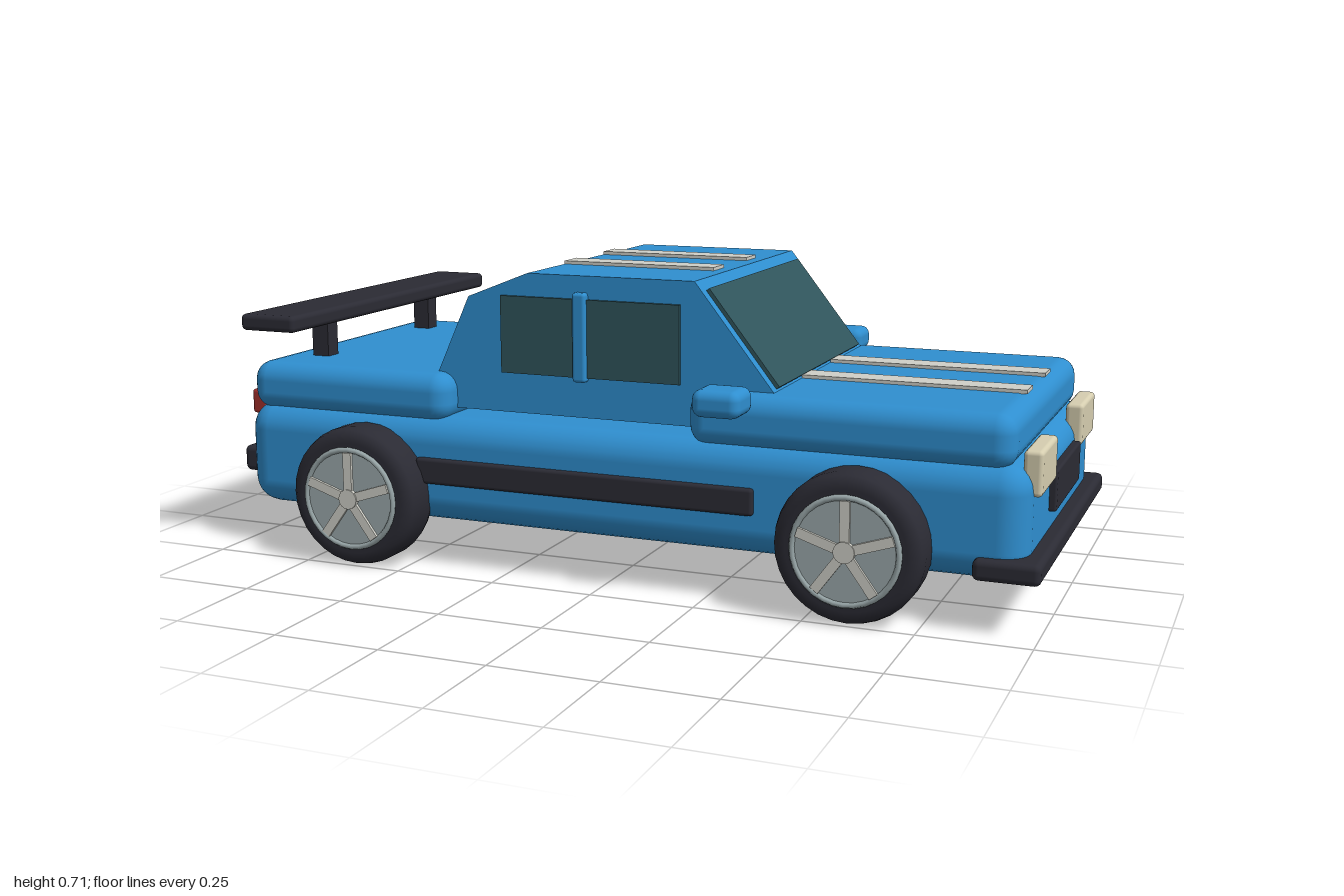
import * as THREE from 'three';
import { RoundedBoxGeometry } from 'three/addons/geometries/RoundedBoxGeometry.js';

const mat = (name, color, extra = {}) => {
  const m = new THREE.MeshStandardMaterial({ color, ...extra });
  m.name = name;
  return m;
};

export function createModel() {
  const paint = mat('bluePaint', 0x2f8fd0);
  const black = mat('blackTrim', 0x2b2b34);
  const glass = mat('tintedGlass', 0x30555c);
  const cream = mat('headlightCream', 0xd6ceb0);
  const stripeMat = mat('stripeGrey', 0xd0d0c8);
  const rimMat = mat('rimGrey', 0x9caaac);
  const red = mat('tailRed', 0xa0302c);

  const car = new THREE.Group();
  car.name = 'car';

  const add = (name, geo, material, parent = car) => {
    const m = new THREE.Mesh(geo, material);
    m.name = name;
    parent.add(m);
    return m;
  };
  // Box given by its limits on each axis, with rounded edges when r > 0
  const box = (name, material, [x0, x1], [y0, y1], [z0, z1], r = 0) => {
    const s = [x1 - x0, y1 - y0, z1 - z0];
    const geo = r ? new RoundedBoxGeometry(...s, 3, r) : new THREE.BoxGeometry(...s);
    const m = add(name, geo, material);
    m.position.set((x0 + x1) / 2, (y0 + y1) / 2, (z0 + z1) / 2);
    return m;
  };

  // Body shells
  box('lowerBody', paint, [-0.97, 0.965], [0.105, 0.36], [-0.428, 0.428], 0.065);
  box('hood', paint, [0.195, 0.93], [0.342, 0.466], [-0.412, 0.412], 0.045);
  box('trunk', paint, [-0.96, -0.41], [0.342, 0.461], [-0.412, 0.412], 0.045);

  // Cabin: side profile extruded across the car
  const profile = [[-0.49, 0.375], [0.43, 0.375], [0.385, 0.465], [0.195, 0.706],
    [-0.22, 0.706], [-0.375, 0.645], [-0.46, 0.46]].map(p => new THREE.Vector2(...p));
  const cabin = new THREE.ExtrudeGeometry(new THREE.Shape(profile), { depth: 0.704, bevelEnabled: false });
  cabin.translate(0, 0, -0.352);
  add('cabin', cabin, paint);

  // Glass plates lying on the sloped ends of the cabin
  const slopedGlass = (name, a, b, width) => {
    const [dx, dy] = [b[0] - a[0], b[1] - a[1]];
    const m = add(name, new THREE.BoxGeometry(Math.hypot(dx, dy), 0.018, width), glass);
    m.position.set((a[0] + b[0]) / 2, (a[1] + b[1]) / 2, 0);
    m.rotation.z = Math.atan2(dy, dx);
  };
  slopedGlass('windshield', [0.213, 0.683], [0.381, 0.47], 0.65);
  slopedGlass('rearWindow', [-0.466, 0.447], [-0.392, 0.608], 0.64);

  // Grille, bumpers
  box('grille', black, [0.94, 0.982], [0.207, 0.302], [-0.165, 0.165], 0.006);
  box('frontBumper', black, [0.855, 1], [0.116, 0.163], [-0.452, 0.452], 0.014);
  box('rearBumper', black, [-1, -0.95], [0.178, 0.242], [-0.393, 0.393], 0.014);

  // Rear wing
  box('wing', black, [-0.93, -0.78], [0.55, 0.59], [-0.48, 0.48], 0.012);

  // Parts that appear on both sides
  for (const s of [1, -1]) {
    const z = (a, b) => (s > 0 ? [a, b] : [-b, -a]);
    const side = s > 0 ? 'left' : 'right';
    const far = s > 0 ? 'right' : 'left';
    box(far + 'SideWindow', glass, [-0.287, 0.162], [0.47, 0.652], z(0.352, 0.361));
    box(far + 'WindowPillar', paint, [-0.1, -0.066], [0.46, 0.668], z(0.345, 0.372), 0.008);
    box(far + 'Mirror', paint, [0.252, 0.363], [0.434, 0.495], z(0.427, 0.53), 0.022);
    box(far + 'SideSkirt', black, [-0.48, 0.365], [0.203, 0.265], z(0.41, 0.441), 0.008);
    box(far + 'WingPost', black, [-0.865, -0.82], [0.44, 0.56], z(0.228, 0.272));
    box(far + 'Headlight', cream, [0.94, 0.982], [0.286, 0.386], z(0.179, 0.366), 0.01);
    box(far + 'TailLight', red, [-0.992, -0.95], [0.32, 0.381], z(0.21, 0.36), 0.008);
    box(side + 'RoofStripe', stripeMat, [-0.22, 0.165], [0.705, 0.714], z(0.08, 0.149));
    box(side + 'HoodStripe', stripeMat, [0.385, 0.905], [0.465, 0.474], z(0.08, 0.149));
  }

  // Wheels, modelled with the axle along z and the outer face toward +z
  const R = 0.168;
  const tyreProfile = [[0.001, 0], [0.135, 0], [0.152, 0.004], [0.163, 0.014], [R, 0.03],
    [R, 0.086], [0.163, 0.103], [0.152, 0.113], [0.135, 0.117], [0.001, 0.117]]
    .map(p => new THREE.Vector2(...p));
  const tyreGeo = new THREE.LatheGeometry(tyreProfile, 32).rotateX(Math.PI / 2);
  const disc = (r, z0, z1, n = 32) =>
    new THREE.CylinderGeometry(r, r, z1 - z0, n).rotateX(Math.PI / 2).translate(0, 0, (z0 + z1) / 2);
  const discGeo = disc(0.122, 0.1, 0.121);
  const hubGeo = disc(0.024, 0.11, 0.131, 16);
  const ringGeo = new THREE.TorusGeometry(0.118, 0.007, 6, 32).translate(0, 0, 0.12);
  const spokeGeo = new THREE.BoxGeometry(0.022, 0.1, 0.012).translate(0, 0.062, 0.122);

  for (const x of [-0.62, 0.598]) {
    for (const s of [1, -1]) {
      const wheel = new THREE.Group();
      wheel.name = (x > 0 ? 'front' : 'rear') + (s > 0 ? 'Right' : 'Left') + 'Wheel';
      add('tyre', tyreGeo, black, wheel);
      add('rimDisc', discGeo, rimMat, wheel);
      add('rimRing', ringGeo, rimMat, wheel);
      add('hubCap', hubGeo, stripeMat, wheel);
      for (let i = 0; i < 5; i++) {
        add('spoke', spokeGeo, stripeMat, wheel).rotation.z = (i / 5) * Math.PI * 2;
      }
      wheel.position.set(x, R, s * 0.39);
      if (s < 0) wheel.rotation.y = Math.PI;
      car.add(wheel);
    }
  }
  return car;
}
